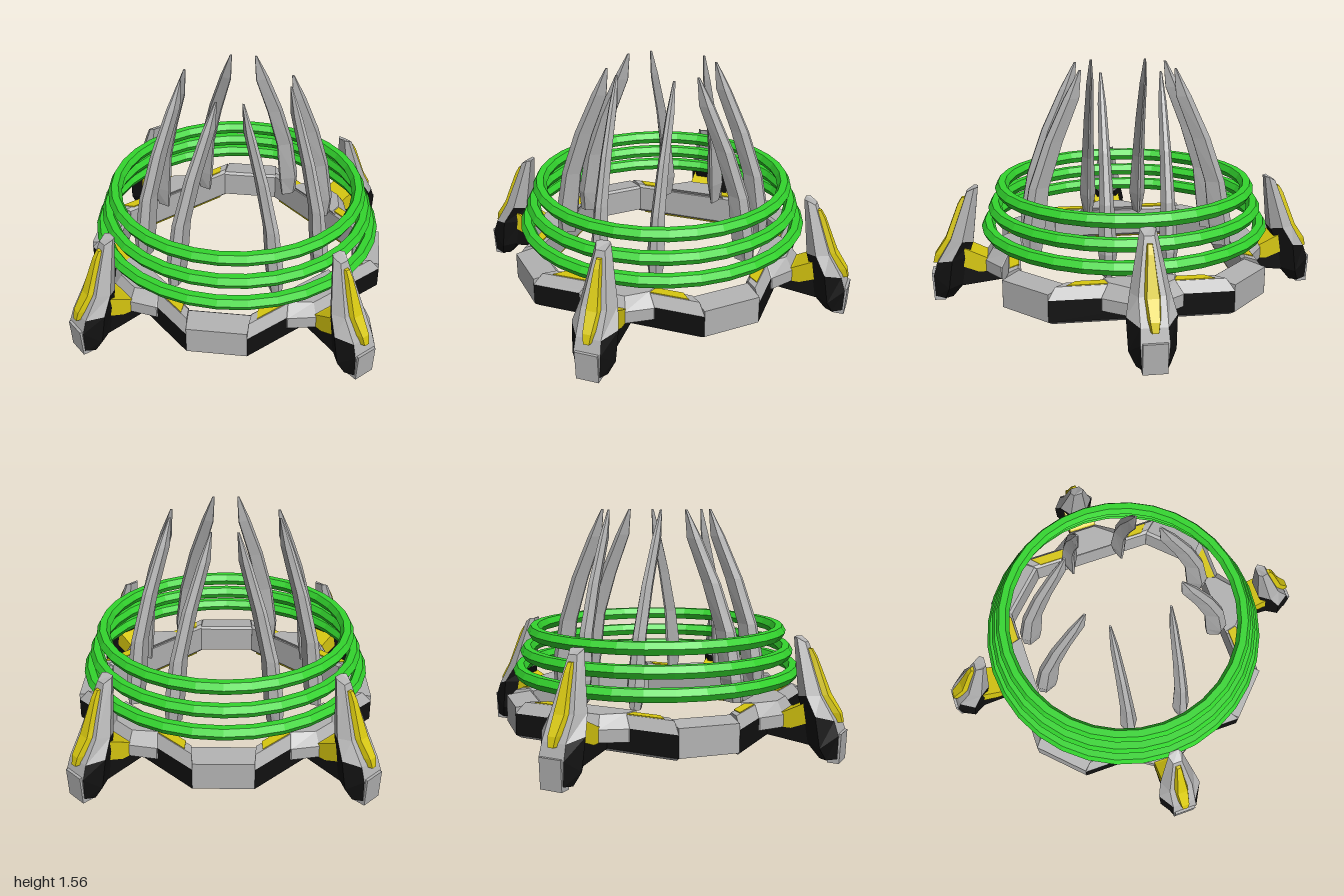
import * as THREE from 'three';

const mat = (name, color, opts = {}) => {
  const m = new THREE.MeshStandardMaterial({ color, ...opts });
  m.name = name;
  return m;
};

// Join equal loops of [x, y, z] points; colourOf(section, edge) picks a material index
function loft(loops, colourOf = () => 0) {
  const faces = [];
  const n = loops[0].length;
  const quad = (a, b, c, d, m) => faces.push({ m, p: [a, b, c, a, c, d] });
  const cap = (loop, m, flip) => {
    for (let i = 1; i < n - 1; i++) {
      const t = [loop[0], loop[i], loop[i + 1]];
      faces.push({ m, p: flip ? t.reverse() : t });
    }
  };
  for (let s = 0; s < loops.length - 1; s++)
    for (let e = 0; e < n; e++) {
      const f = (e + 1) % n;
      quad(loops[s][e], loops[s][f], loops[s + 1][f], loops[s + 1][e], colourOf(s, e));
    }
  cap(loops[0], colourOf(0, -1), true);
  cap(loops[loops.length - 1], colourOf(loops.length - 2, -2), false);
  // Turn the surface outward if its signed volume is negative
  let volume = 0;
  const v = () => new THREE.Vector3();
  for (const { p } of faces)
    for (let i = 0; i < p.length; i += 3)
      volume += v().fromArray(p[i]).dot(v().fromArray(p[i + 1]).cross(v().fromArray(p[i + 2])));
  if (volume < 0) faces.forEach((f) => f.p.reverse());
  faces.sort((a, b) => a.m - b.m);
  const geo = new THREE.BufferGeometry();
  let start = 0;
  for (const f of faces) {
    geo.addGroup(start, f.p.length, f.m);
    start += f.p.length;
  }
  geo.setAttribute('position', new THREE.Float32BufferAttribute(faces.flatMap((f) => f.p.flat()), 3));
  geo.computeVertexNormals();
  return geo;
}

// Bar across x with a [z, y] section; halfAt(z) gives its half length, so ends can be mitred
const bar = (section, halfAt, colourOf) =>
  loft([-1, 1].map((s) => section.map(([z, y]) => [s * halfAt(z), y, z])), colourOf);

// Six-sided section: inner, widest and outer pairs, each given as [y, z, halfWidth]
const hexLoop = (inner, mid, outer) => [
  ...[inner, mid, outer].map(([y, z, w]) => [w, y, z]),
  ...[outer, mid, inner].map(([y, z, w]) => [-w, y, z]),
];

export function createModel() {
  const grey = mat('grey metal', 0xb2b2b2, { flatShading: true });
  const black = mat('black metal', 0x111111, { flatShading: true });
  const yellow = mat('yellow trim', 0xd8c810, { flatShading: true });
  const green = mat('green energy', 0x33d62e, { flatShading: true });
  const model = new THREE.Group();
  model.name = 'ringedPlatform';
  const add = (parent, name, geo, material) => {
    const mesh = new THREE.Mesh(geo, material);
    mesh.name = name;
    parent.add(mesh);
    return mesh;
  };
  const palette = [grey, black];

  // Short straight side of the octagonal base
  const shortBar = bar([[1, 0.14], [1, 0.32], [0.84, 0.335], [0.82, 0.32], [0.82, 0.14]],
    (z) => 0.2 - (z - 0.82) * 0.055);

  // Long corner side: black outer face, grey elsewhere
  const longBar = bar(
    [[0.842, 0.14], [0.842, 0.28], [0.8, 0.35], [0.74, 0.35], [0.72, 0.33], [0.72, 0.14], [0.74, 0.12], [0.82, 0.12]],
    (z) => 0.438 + (z - 0.721) * 1.116, (s, e) => (e === 0 ? 1 : 0));
  const stripAt = (y) => bar([[0.733, y], [0.733, y + 0.008], [0.795, y + 0.008], [0.795, y]],
    (z) => 0.4 + (z - 0.733) * 0.9);

  // Grey socket where the leg meets the base
  const plan = [[-0.28, 0.76], [-0.25, 0.85], [-0.1, 0.95], [0.1, 0.95], [0.25, 0.85], [0.28, 0.76]];
  const socket = loft([[0.2, 1, 0], [0.28, 1, 0], [0.36, 0.8, -0.05]].map(([y, k, dz]) =>
    plan.map(([x, z]) => [x * k, y, z + dz])));

  // Arm out to the leg: yellow brace above, black beam below
  const brace = bar([[0.9, 0.2], [0.9, 0.29], [0.95, 0.3], [1.15, 0.4], [1.15, 0.26], [1.0, 0.2]], () => 0.1);
  const beam = bar([[0.83, 0.14], [0.83, 0.21], [1.15, 0.28], [1.15, 0.1]], () => 0.095);

  // Leg: grey blade on top, black shin with a grey front below
  const leg = loft([
    hexLoop([0.77, 0.985, 0.03], [0.77, 1.01, 0.048], [0.74, 1.06, 0.03]),
    hexLoop([0.4, 1.03, 0.06], [0.42, 1.1, 0.12], [0.42, 1.18, 0.08]),
    hexLoop([0.3, 1.07, 0.09], [0.3, 1.17, 0.15], [0.27, 1.27, 0.08]),
    hexLoop([0.12, 1.1, 0.09], [0.1, 1.2, 0.14], [0.18, 1.3, 0.085]),
    hexLoop([0.02, 1.18, 0.07], [0.02, 1.23, 0.1], [0.03, 1.295, 0.075]),
  ], (s, e) => (s === 0 || e === 2 || (s === 1 && e >= 1 && e <= 3) ? 0 : 1));
  const foot = bar([[1.23, 0], [1.305, 0], [1.315, 0.19], [1.23, 0.19]], () => 0.073);

  // Raised yellow panel down the front of the leg
  const panel = loft([[0.7, 1.04, 1.095, 0.022], [0.65, 1.05, 1.125, 0.03], [0.42, 1.13, 1.215, 0.06],
    [0.31, 1.22, 1.29, 0.045], [0.25, 1.26, 1.305, 0.03]].map(([y, back, front, w]) =>
    [[w, y, back], [w * 0.6, y, front], [-w * 0.6, y, front], [-w, y, back]]));

  // Curved spike: [y, centre z, half depth, half width]
  const spike = loft([
    [0.35, 0.64, 0.06, 0.035], [0.5, 0.63, 0.075, 0.06], [0.8, 0.585, 0.065, 0.045],
    [1.1, 0.485, 0.06, 0.036], [1.38, 0.365, 0.05, 0.026], [1.56, 0.308, 0.008, 0.008],
  ].map(([y, z, d, w]) => hexLoop([y, z - d, w * 0.15], [y, z + d * 0.3, w], [y, z + d, w * 0.4])));

  for (let k = 0; k < 4; k++) {
    const side = new THREE.Group();
    side.name = 'baseSide' + (k + 1);
    side.rotation.y = (k * Math.PI) / 2;
    add(side, 'shortBaseBar', shortBar, grey);

    const corner = new THREE.Group();
    corner.name = 'corner' + (k + 1);
    corner.rotation.y = Math.PI / 4 + (k * Math.PI) / 2;
    add(corner, 'longBaseBar', longBar, palette);
    add(corner, 'topStrip', stripAt(0.347), yellow);
    add(corner, 'bottomStrip', stripAt(0.115), yellow);
    add(corner, 'legSocket', socket, grey);
    add(corner, 'legBrace', brace, yellow);
    add(corner, 'legBeam', beam, black);
    add(corner, 'leg', leg, palette);
    add(corner, 'foot', foot, grey);
    add(corner, 'legPanel', panel, yellow);
    for (const s of [-1, 1]) add(corner, 'spike', spike, grey).position.x = s * 0.19;
    model.add(side, corner);
  }

  // Three floating rings, wider toward the bottom
  [[0.755, 0.828], [0.622, 0.877], [0.495, 0.925]].forEach(([y, radius], i) => {
    const ring = add(model, 'ring' + (i + 1), new THREE.TorusGeometry(radius, 0.046, 6, 32), green);
    ring.rotation.x = Math.PI / 2;
    ring.position.y = y;
  });
  return model;
}
